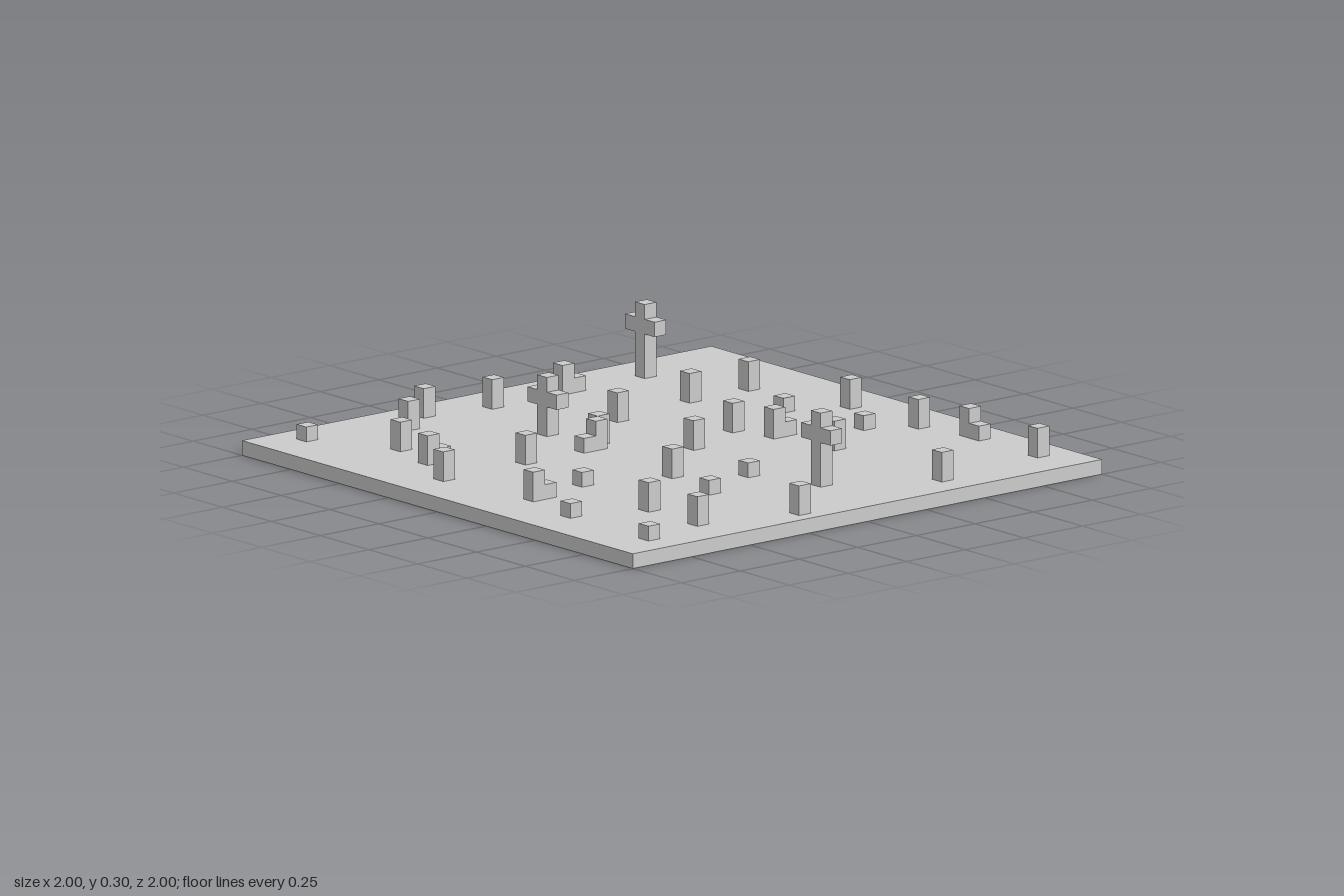
import * as THREE from 'three';

const U = 0.05; // size of one block

export function createModel() {
  const model = new THREE.Group();
  const material = new THREE.MeshStandardMaterial({ color: 0xcccccc, flatShading: true });

  // Box given by its centre in x and z and its bottom in y
  function block(name, parent, x, y, z, w, h, d) {
    const mesh = new THREE.Mesh(new THREE.BoxGeometry(w, h, d), material);
    mesh.name = name;
    mesh.position.set(x, y + h / 2, z);
    parent.add(mesh);
  }

  // Flat ground plate
  block('groundPlate', model, 0, 0, 0, 2, U, 2);

  // Standing posts, two blocks tall: [x, z]
  const posts = [
    [-0.075, -0.825], [0.275, -0.825], [0.825, -0.875], [-0.475, -0.725],
    [-0.475, -0.475], [-0.075, -0.325], [0.325, -0.425], [0.875, -0.425],
    [-0.425, -0.125], [0.025, -0.075], [-0.825, 0.075], [-0.225, 0.125],
    [0.275, 0.225], [0.925, 0.225], [-0.875, 0.325], [-0.775, 0.475],
    [-0.175, 0.475], [0.575, 0.575], [0.825, 0.575], [-0.575, 0.675],
    [-0.175, 0.825],
  ];
  for (const [x, z] of posts) block('post', model, x, U, z, U, 2 * U, U);

  // Single low blocks: [x, z]
  const stones = [
    [0.175, -0.675], [-0.175, -0.625], [0.425, 0.025], [0.525, 0.275],
    [0.175, 0.525], [-0.875, 0.825], [0.475, 0.825], [0.875, 0.825],
  ];
  for (const [x, z] of stones) block('stone', model, x, U, z, U, U, U);

  // Posts with a low step beside them: [x, z, step direction x, step direction z]
  const stepped = [
    [0.475, -0.875, 1, 0], [0.075, -0.375, 0, -1], [-0.825, -0.225, 0, -1],
    [-0.175, 0.175, 0, 1], [-0.375, 0.725, 0, -1], [0.225, 0.775, 0, -1],
  ];
  for (const [x, z, dx, dz] of stepped) {
    const group = new THREE.Group();
    group.name = 'steppedPost';
    block('post', group, x, U, z, U, 2 * U, U);
    block('step', group, x + dx * U, U, z + dz * U, U, U, U);
    model.add(group);
  }

  // Crosses, with arms one block below the top: [x, z, height in blocks]
  for (const [x, z, n] of [[-0.825, -0.575, 5], [0.675, -0.075, 5], [-0.425, 0.175, 4]]) {
    const group = new THREE.Group();
    group.name = 'cross';
    block('upright', group, x, U, z, U, n * U, U);
    for (const side of [-1, 1]) block('arm', group, x + side * U, (n - 1) * U, z, U, U, U);
    model.add(group);
  }

  return model;
}
